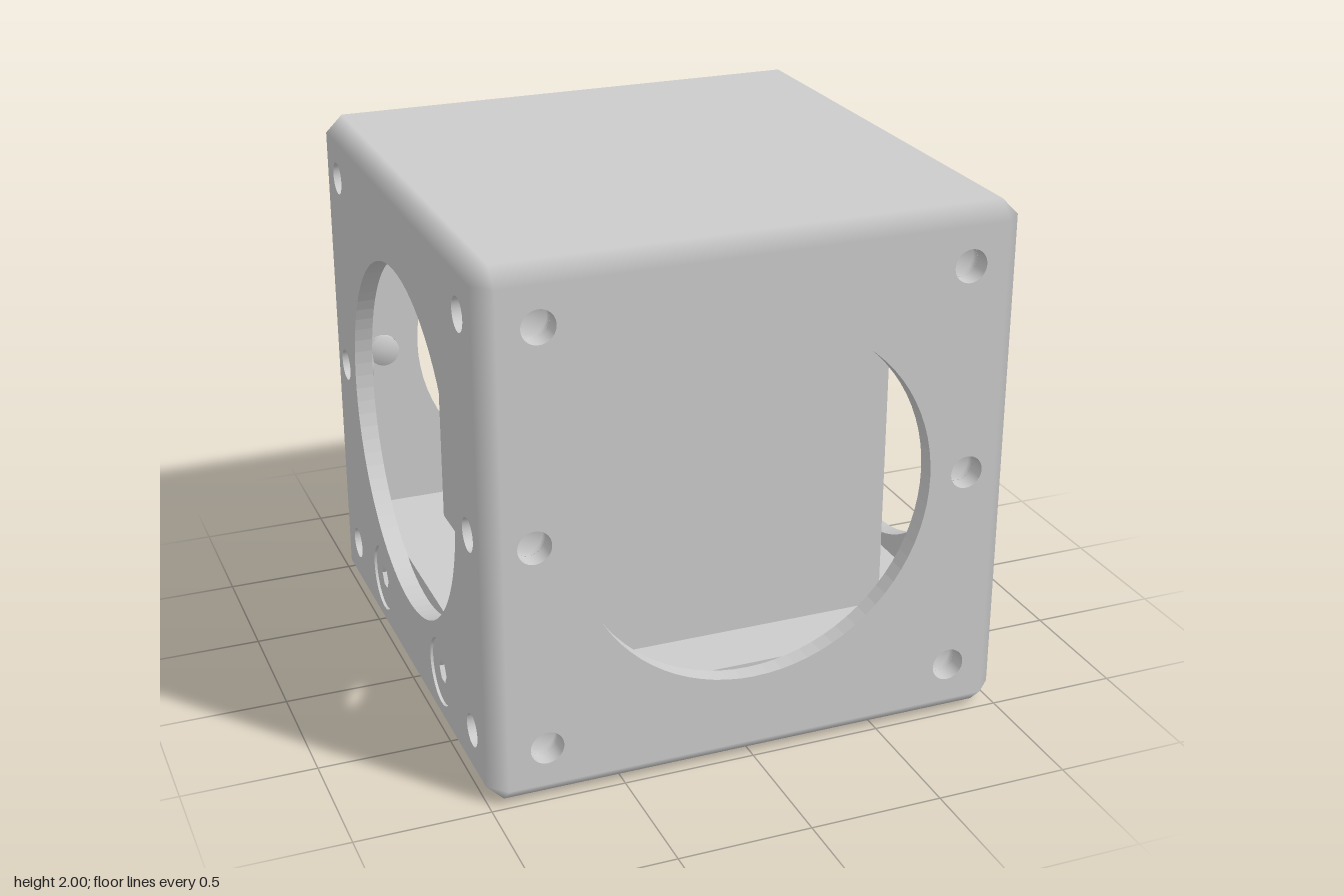
import * as THREE from 'three';

const H = 1, C = 0.065, F = H - C, WALL = 0.07;
const mat = new THREE.MeshStandardMaterial({ color: 0xcccccc });
const matDouble = new THREE.MeshStandardMaterial({ color: 0xcccccc, side: THREE.DoubleSide });

function add(parent, geometry, name, x = 0, y = 0, z = 0, material = mat) {
  const mesh = new THREE.Mesh(geometry, material);
  mesh.name = name;
  mesh.position.set(x, y, z);
  parent.add(mesh);
  return mesh;
}

function circle(x, y, r) {
  return new THREE.Path().absarc(x, y, r, 0, Math.PI * 2, true);
}

function square(half) {
  return new THREE.Shape([
    new THREE.Vector2(-half, -half), new THREE.Vector2(half, -half),
    new THREE.Vector2(half, half), new THREE.Vector2(-half, half)]);
}

// Bevels along all 12 edges and 8 corners; normals blend between the faces
function bevelGeometry() {
  const pos = [], nor = [];
  const point = (s, axis) => ({
    p: new THREE.Vector3(...s.map((v, i) => v * (i === axis ? H : F))),
    n: new THREE.Vector3(...s.map((v, i) => (i === axis ? v : 0))),
  });
  const tri = (a, b, c) => {
    const n = b.p.clone().sub(a.p).cross(c.p.clone().sub(a.p));
    const list = n.dot(a.p) > 0 ? [a, b, c] : [a, c, b];
    for (const v of list) { pos.push(...v.p.toArray()); nor.push(...v.n.toArray()); }
  };
  for (const i of [-1, 1]) for (const j of [-1, 1]) {
    for (let axis = 0; axis < 3; axis++) {
      const u = (axis + 1) % 3, v = (axis + 2) % 3;
      const end = (k) => { const s = []; s[axis] = k; s[u] = i; s[v] = j; return s; };
      const a = point(end(-1), u), b = point(end(1), u);
      const c = point(end(1), v), d = point(end(-1), v);
      tri(a, b, c);
      tri(a, c, d);
    }
    for (const k of [-1, 1]) tri(...[0, 1, 2].map((axis) => point([i, j, k], axis)));
  }
  const g = new THREE.BufferGeometry();
  g.setAttribute('position', new THREE.Float32BufferAttribute(pos, 3));
  g.setAttribute('normal', new THREE.Float32BufferAttribute(nor, 3));
  return g;
}

const PINS = [[-0.79, 0.79], [0.79, 0.79], [-0.79, -0.787], [0.79, -0.787], [-0.82, 0], [0.82, 0]];
const PIN_R = 0.062, SCREW_R = 0.13, SCREW_Y = -0.76;

// One side wall, facing +z, with its round window and mounting holes
function sideWall(hasScrews) {
  const wall = new THREE.Group();
  wall.name = 'sideWall';
  const shape = square(F);
  shape.holes.push(circle(0, 0.005, 0.673));
  for (const [x, y] of PINS) shape.holes.push(circle(x, y, PIN_R));
  if (hasScrews) for (const x of [-0.4, 0.4]) shape.holes.push(circle(x, SCREW_Y, SCREW_R));
  const panel = new THREE.ExtrudeGeometry(shape, { depth: WALL, bevelEnabled: false, curveSegments: 40 });
  add(wall, panel, 'wallPanel', 0, 0, H - WALL);

  // Blind ends of the pin holes
  const cup = new THREE.LatheGeometry(
    [[0, -0.028], [PIN_R, -0.028], [PIN_R, 0]].map(([x, y]) => new THREE.Vector2(x, y)), 24);
  cup.rotateX(Math.PI / 2);
  for (const [x, y] of PINS) add(wall, cup, 'pinHole', x, y, H - WALL, matDouble);

  // Screw heads with hexagonal sockets
  if (hasScrews) {
    const head = new THREE.Shape().absarc(0, 0, SCREW_R - 0.002, 0, Math.PI * 2);
    const hex = [];
    for (let i = 0; i < 6; i++) {
      const a = -i * Math.PI / 3;
      hex.push(new THREE.Vector2(Math.cos(a) * 0.045, Math.sin(a) * 0.045));
    }
    head.holes.push(new THREE.Path(hex));
    const headGeo = new THREE.ExtrudeGeometry(head, { depth: 0.08, bevelEnabled: false, curveSegments: 24 });
    for (const x of [-0.4, 0.4]) add(wall, headGeo, 'screwHead', x, SCREW_Y, 0.91);
  }
  return wall;
}

export function createModel() {
  const model = new THREE.Group();
  model.name = 'cubeHousing';
  const body = new THREE.Group();
  body.name = 'housing';
  body.position.y = H;
  model.add(body);

  // Outer shell
  add(body, bevelGeometry(), 'bevelledEdges');
  for (let i = 0; i < 4; i++) {
    const wall = sideWall(i % 2 === 1);
    wall.rotation.y = i * Math.PI / 2;
    body.add(wall);
  }
  const lid = new THREE.ExtrudeGeometry(square(F), { depth: WALL, bevelEnabled: false });
  add(body, lid, 'topPlate', 0, H - WALL, 0).rotation.x = -Math.PI / 2;

  // Bottom plate with a small central hole
  const bottomShape = square(F);
  bottomShape.holes.push(circle(0, 0, 0.045));
  const bottom = new THREE.ExtrudeGeometry(bottomShape, { depth: WALL, bevelEnabled: false, curveSegments: 24 });
  add(body, bottom, 'bottomPlate', 0, WALL - H, 0).rotation.x = Math.PI / 2;

  // Solid floor and ceiling holding the inner cube
  const slab = new THREE.BoxGeometry(1.8, 0.26, 1.8);
  add(body, slab, 'innerFloor', 0, -0.802, 0);
  add(body, slab, 'innerCeiling', 0, 0.812, 0);

  // Inner cube, seen through the windows
  add(body, new THREE.BoxGeometry(1.33, 1.34, 1.33), 'innerCube', 0, 0.005, 0);

  // Corner stops locating the cube
  const stop = new THREE.BoxGeometry(0.16, 0.16, 0.16);
  add(body, stop, 'cornerStop', 0.7, -0.6, -0.7);
  for (const s of [-1, 1]) add(body, stop, 'cornerStop', s * 0.7, 0.61, s * 0.7);

  return model;
}
